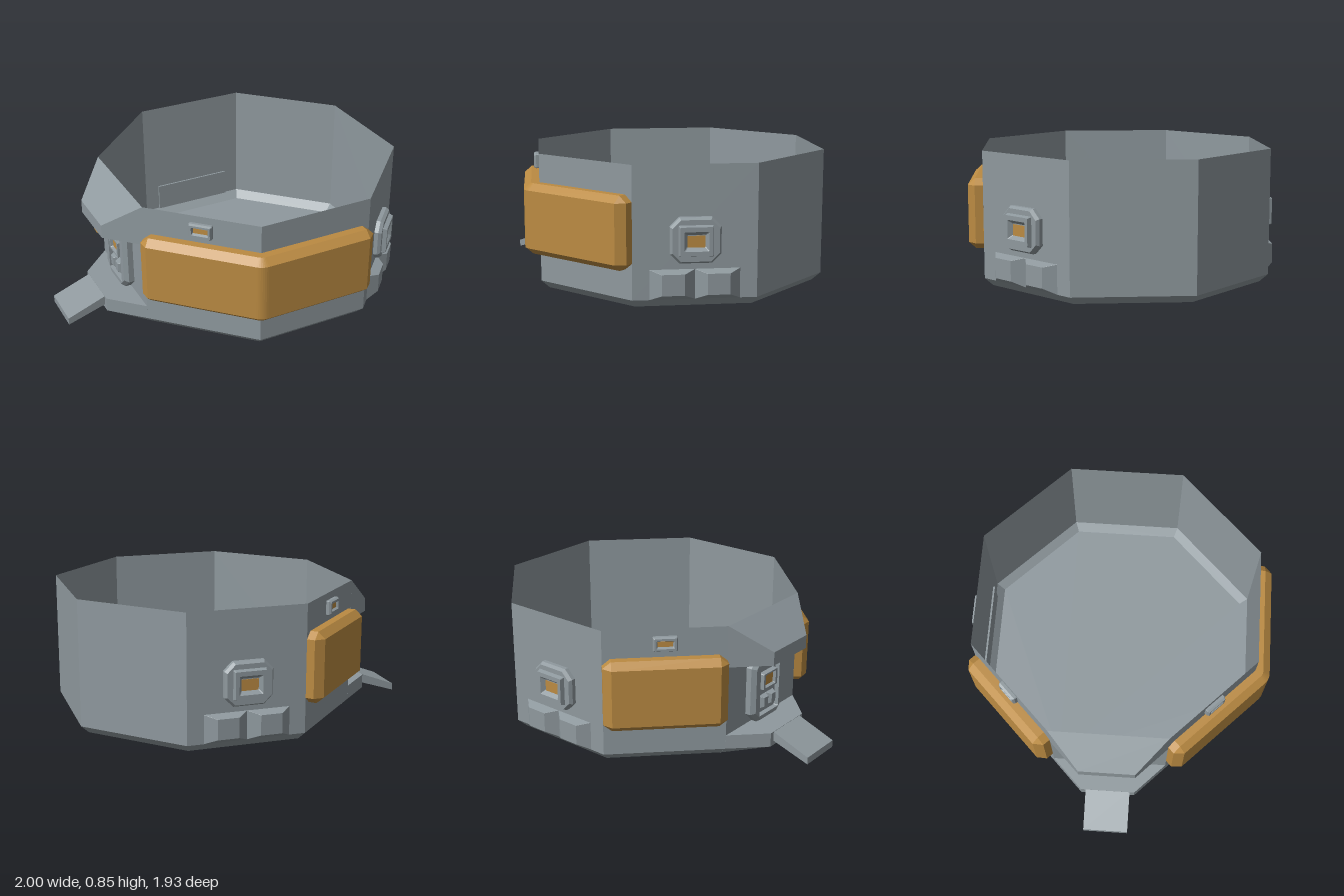
import * as THREE from 'three';
import { ConvexGeometry } from 'three/addons/geometries/ConvexGeometry.js';

const CX = 0.042, CZ = -0.0775;      // centre of the octagonal hull
const A = 0.8875, W = 0.368;         // apothem and half side of the octagon
const TOP = 0.845;

const grey = new THREE.MeshStandardMaterial({ color: 0x8f999e, side: THREE.DoubleSide });
grey.name = 'hull grey';
const amber = new THREE.MeshStandardMaterial({ color: 0xbb8b42, side: THREE.DoubleSide });
amber.name = 'amber';

// Flat-shaded mesh from convex polygons
function polyMesh(name, polys, mat) {
  const pos = [];
  for (const p of polys)
    for (let i = 1; i < p.length - 1; i++) pos.push(...p[0], ...p[i], ...p[i + 1]);
  const g = new THREE.BufferGeometry();
  g.setAttribute('position', new THREE.Float32BufferAttribute(pos, 3));
  g.computeVertexNormals();
  const m = new THREE.Mesh(g, mat);
  m.name = name;
  return m;
}

// Rectangle with cut corners at depth z, counter-clockwise from the front
function ring(w, h, c, z, cx, cy) {
  const x = w / 2, y = h / 2;
  return [[-x + c, -y], [x - c, -y], [x, -y + c], [x, y - c], [x - c, y], [-x + c, y], [-x, y - c], [-x, -y + c]]
    .map(([a, b]) => [a + cx, b + cy, z]);
}

// Joins rings [w, h, cut, z, y shift] from back to front; the last one is capped
function loft(name, specs, cx, cy, mat = grey) {
  const rings = specs.map(([w, h, c, z, dy = 0]) => ring(w, h, c, z, cx, cy + dy));
  const polys = [];
  for (let r = 0; r < rings.length - 1; r++)
    for (let i = 0; i < 8; i++) {
      const j = (i + 1) % 8;
      polys.push([rings[r][i], rings[r][j], rings[r + 1][j], rings[r + 1][i]]);
    }
  polys.push(rings[rings.length - 1]);
  return polyMesh(name, polys, mat);
}

function hull(name, pts) {
  const m = new THREE.Mesh(new ConvexGeometry(pts.map(p => new THREE.Vector3(...p))), grey);
  m.name = name;
  return m;
}
const mirrored = pts => pts.flatMap(([x, y, z]) => [[x, y, z], [-x, y, z]]);

// Group facing outward at an angle round the hull, starting at depth d
function onSide(name, angle, d, ...parts) {
  const g = new THREE.Group();
  g.name = name;
  g.position.set(CX + Math.sin(angle) * d, 0, CZ + Math.cos(angle) * d);
  g.rotation.y = angle;
  g.add(...parts);
  return g;
}

// Recessed lamp window with a chamfered mounting plate
const lampWindow = () => [
  loft('windowFrame', [
    [0.30, 0.27, 0.055, 0], [0.30, 0.27, 0.055, 0.025], [0.275, 0.245, 0.05, 0.045],
    [0.205, 0.185, 0.004, 0.045], [0.19, 0.17, 0.004, 0.072],
    [0.145, 0.115, 0.004, 0.072], [0.105, 0.072, 0.004, 0.045]], 0, 0.405),
  loft('windowPane', [[0.105, 0.072, 0.002, 0.045], [0.105, 0.072, 0.002, 0.047]], 0, 0.4, amber),
];

// Two tapered lumps side by side
const lumps = (w, h, depth, z, cy) => [-0.5, 0.5].map(s => loft('bracketLump', [
  [w, h, 0.001, z], [w * 0.5, h * 0.7, 0.001, z + depth, h * 0.05]], s * w, cy));

const smallLamp = () => [
  loft('lampFrame', [[0.145, 0.09, 0.004, 0], [0.145, 0.09, 0.004, 0.018], [0.128, 0.076, 0.004, 0.032],
    [0.105, 0.05, 0.003, 0.032], [0.09, 0.032, 0.003, 0.015]], 0, 0.755),
  loft('lampPane', [[0.09, 0.032, 0.002, 0.015], [0.09, 0.032, 0.002, 0.018]], 0, 0.755, amber),
];

// Bevelled band following stations [x, z, normal angle]
function band(name, stations) {
  const full = [[0, 0.23], [0.05, 0.23], [0.095, 0.27], [0.095, 0.63], [0.05, 0.67], [0, 0.67]];
  const end = [[0, 0.27], [0.05, 0.27], [0.05, 0.27], [0.05, 0.63], [0.05, 0.63], [0, 0.63]];
  const n = stations.length;
  const rows = stations.map(([x, z, a], i) => (i === 0 || i === n - 1 ? end : full)
    .map(([o, y]) => [x + Math.sin(a) * o, y, z + Math.cos(a) * o]));
  const polys = [[...rows[0]].reverse(), rows[n - 1]];
  for (let i = 0; i < n - 1; i++)
    for (let k = 0; k < 5; k++)
      polys.push([rows[i][k], rows[i + 1][k], rows[i + 1][k + 1], rows[i][k + 1]]);
  return polyMesh(name, polys, amber);
}

export function createModel() {
  const model = new THREE.Group();
  model.name = 'octagonalModule';

  // Open octagonal shell with a chamfered foot and a floor
  const corner = (k, apothem, y) => {
    const a = (k - 0.5) * Math.PI / 4, r = apothem / Math.cos(Math.PI / 8);
    return [CX + Math.sin(a) * r, y, CZ + Math.cos(a) * r];
  };
  const walls = [], foot = [], floor = [];
  for (let k = 0; k < 8; k++) {
    walls.push([corner(k, A, 0.05), corner(k + 1, A, 0.05), corner(k + 1, A, TOP), corner(k, A, TOP)]);
    foot.push([corner(k, A - 0.05, 0), corner(k + 1, A - 0.05, 0), corner(k + 1, A, 0.05), corner(k, A, 0.05)]);
    floor.unshift(corner(k, A - 0.05, 0));
  }
  model.add(polyMesh('walls', walls, grey), polyMesh('foot', foot, grey), polyMesh('floor', [floor], grey));

  // Amber bands: one wraps the front left corner, one is on the right side
  const q = Math.PI / 4, x0 = CX - W, x1 = CX + W, zf = CZ + A, s = Math.SQRT1_2;
  const wrap = [[x0, zf, 0], [x0 + 0.05, zf, 0]];
  for (let i = 0; i <= 6; i++) wrap.push([x1, zf, q * i / 6]);
  for (const t of [2 * W - 0.05, 2 * W]) wrap.push([x1 + t * s, zf - t * s, q]);
  model.add(band('frontBand', wrap));
  const xr = CX - A;
  model.add(band('rightBand', [-W, -W + 0.05, W - 0.05, W].map(t => [xr, CZ + t, -2 * q])));

  // Small lamps above the bands
  model.add(onSide('frontLamp', 0, A, ...smallLamp()), onSide('rightLamp', -2 * q, A, ...smallLamp()));

  // Lamp windows with brackets on the left side and rear right corner
  for (const [name, a] of [['leftFixture', 2 * q], ['rearFixture', -3 * q]])
    model.add(onSide(name, a, A, ...lampWindow(), ...lumps(0.266, 0.18, 0.058, 0, 0.14)));
  const backing = new THREE.Mesh(new THREE.BoxGeometry(0.54, 0.18, 0.012), grey);
  backing.name = 'innerBackingPlate';
  backing.position.set(0, 0.14, -0.006);
  model.add(onSide('rearBacking', -3 * q, A, backing));

  // Entrance on the front right corner: hood, sill and ramp
  const P = 0.175, D = 0.195;
  model.add(onSide('entrance', -q, A,
    hull('hood', mirrored([[W, TOP, 0], [W, 0.585, 0], [P, 0.67, D], [P, 0.585, D]])),
    hull('sill', mirrored([[W, 0.14, 0], [W, 0.05, 0], [0.348, 0, -0.05], [P, 0.14, D], [P, 0.05, D]])),
    hull('ramp', mirrored([[0.144, 0.14, D - 0.005], [0.144, 0.08, D - 0.005], [0.144, 0.045, 0.44], [0.144, 0, 0.44]])),
    // Door with a recessed panel, window and handles
    loft('door', [[0.34, 0.445, 0.07, 0], [0.34, 0.445, 0.07, 0.035], [0.29, 0.41, 0.06, 0.06],
      [0.205, 0.36, 0.004, 0.06], [0.2, 0.355, 0.004, 0.03]], 0, 0.3625),
    loft('doorWindowFrame', [[0.15, 0.11, 0.004, 0.03], [0.145, 0.105, 0.004, 0.065],
      [0.11, 0.085, 0.004, 0.065], [0.095, 0.07, 0.004, 0.045]], 0, 0.4),
    loft('doorWindowPane', [[0.095, 0.07, 0.002, 0.045], [0.095, 0.07, 0.002, 0.048]], 0, 0.4, amber),
    ...lumps(0.08, 0.085, 0.035, 0.03, 0.26)));

  return model;
}
